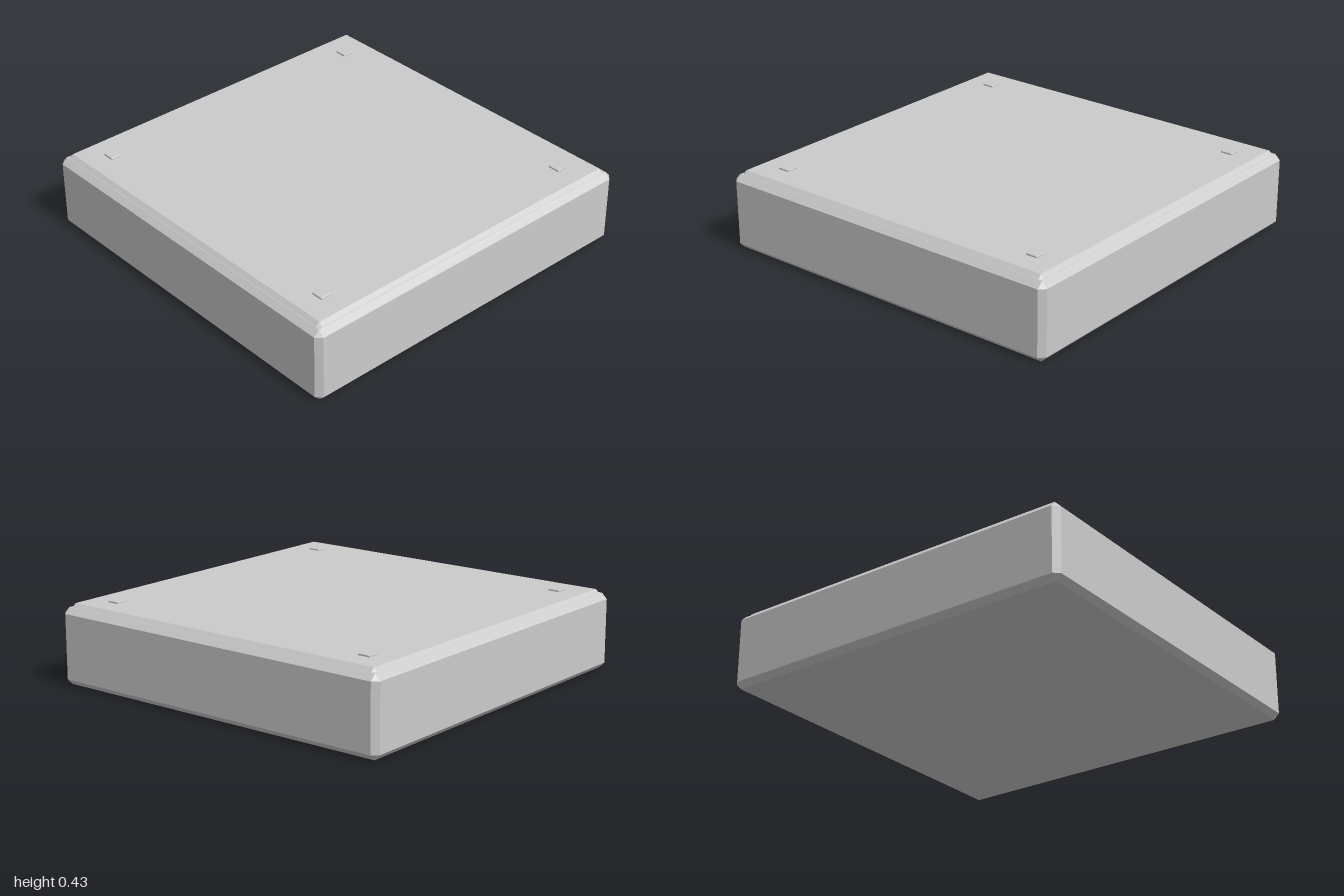
import * as THREE from 'three';
import { ConvexGeometry } from 'three/addons/geometries/ConvexGeometry.js';

const material = new THREE.MeshStandardMaterial({ color: 0xcccccc, flatShading: true });

// Box with every edge cut at 45 degrees, spanning y0..y1
function chamferedBox(name, width, depth, y0, y1, c) {
  const hx = width / 2, hy = (y1 - y0) / 2, hz = depth / 2;
  const points = [];
  for (const x of [-1, 1]) for (const y of [-1, 1]) for (const z of [-1, 1]) {
    points.push(
      new THREE.Vector3(x * hx, y * (hy - c), z * (hz - c)),
      new THREE.Vector3(x * (hx - c), y * hy, z * (hz - c)),
      new THREE.Vector3(x * (hx - c), y * (hy - c), z * hz)
    );
  }
  const mesh = new THREE.Mesh(new ConvexGeometry(points), material);
  mesh.name = name;
  mesh.position.y = (y0 + y1) / 2;
  return mesh;
}

export function createModel() {
  const group = new THREE.Group();
  group.name = 'platform';

  // Thick base block and the thin slab let into its top
  group.add(chamferedBox('base', 2, 2, 0, 0.403, 0.03));
  group.add(chamferedBox('topSlab', 1.934, 1.934, 0.363, 0.423, 0.02));

  // Small square studs near the four corners
  for (const x of [-0.8, 0.8]) for (const z of [-0.8, 0.8]) {
    const stud = chamferedBox('cornerStud', 0.066, 0.066, 0.403, 0.433, 0.003);
    stud.position.x = x;
    stud.position.z = z;
    group.add(stud);
  }
  return group;
}
